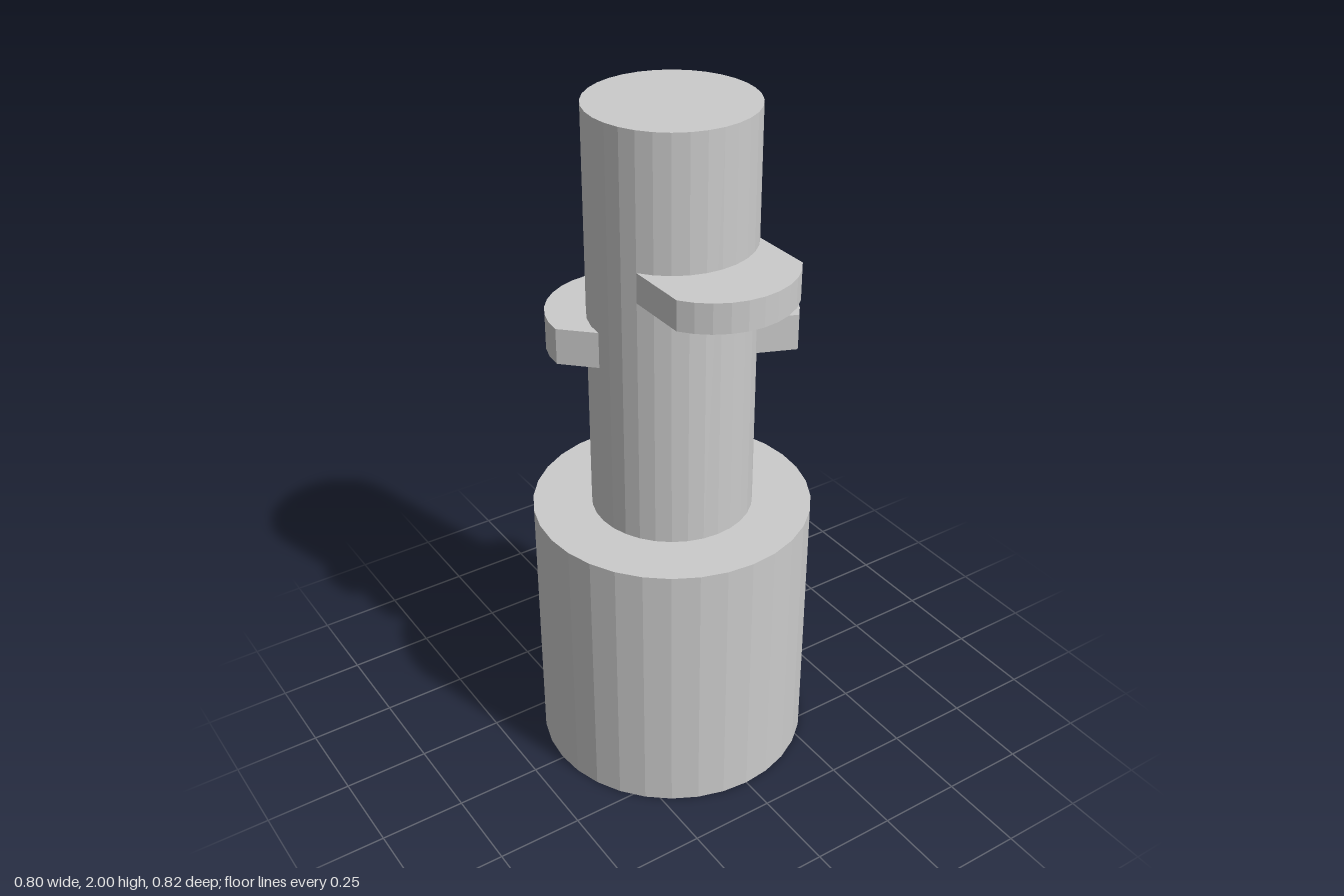
import * as THREE from 'three';

const SIDES = 32;
const STEP = (Math.PI * 2) / SIDES;
const SHAFT_R = 0.232;
const CENTRE_Z = -0.006;

const material = new THREE.MeshStandardMaterial({ color: 0xcccccc, flatShading: true });

function addPart(group, name, geometry) {
  const mesh = new THREE.Mesh(geometry, material);
  mesh.name = name;
  group.add(mesh);
}

// Upright faceted cylinder between two heights
function drum(radius, y0, y1) {
  return new THREE.CylinderGeometry(radius, radius, y1 - y0, SIDES).translate(0, (y0 + y1) / 2, CENTRE_Z);
}

// Tab: a run of shaft facets pushed outward along the run's middle direction.
// Angles are counted in shaft facets from +x towards +z.
function tab(first, last, reach, y0, y1) {
  const middle = ((first + last) / 2) * STEP;
  const dx = Math.cos(middle) * reach;
  const dz = Math.sin(middle) * reach;
  const outer = [];
  const inner = [];
  for (let i = first; i <= last; i++) {
    const x = Math.cos(i * STEP) * SHAFT_R;
    const z = Math.sin(i * STEP) * SHAFT_R;
    outer.push(new THREE.Vector2(x + dx, z + dz));
    inner.unshift(new THREE.Vector2(x, z));
  }
  const shape = new THREE.Shape([...outer, ...inner]);
  return new THREE.ExtrudeGeometry(shape, { depth: y1 - y0, bevelEnabled: false })
    .rotateX(Math.PI / 2)
    .translate(0, y1, CENTRE_Z);
}

export function createModel() {
  const group = new THREE.Group();
  group.name = 'tabbedShaft';

  // Wide foot and narrow shaft
  addPart(group, 'base', drum(0.402, 0, 0.81));
  addPart(group, 'shaft', drum(SHAFT_R, 0.81, 2));

  // Three locking tabs around the shaft
  addPart(group, 'frontTab', tab(3, 13, 0.182, 1.54, 1.625));
  addPart(group, 'leftTab', tab(0, 4, 0.117, 1.305, 1.41));
  addPart(group, 'backRightTab', tab(16, 24, 0.117, 1.305, 1.41));

  return group;
}
